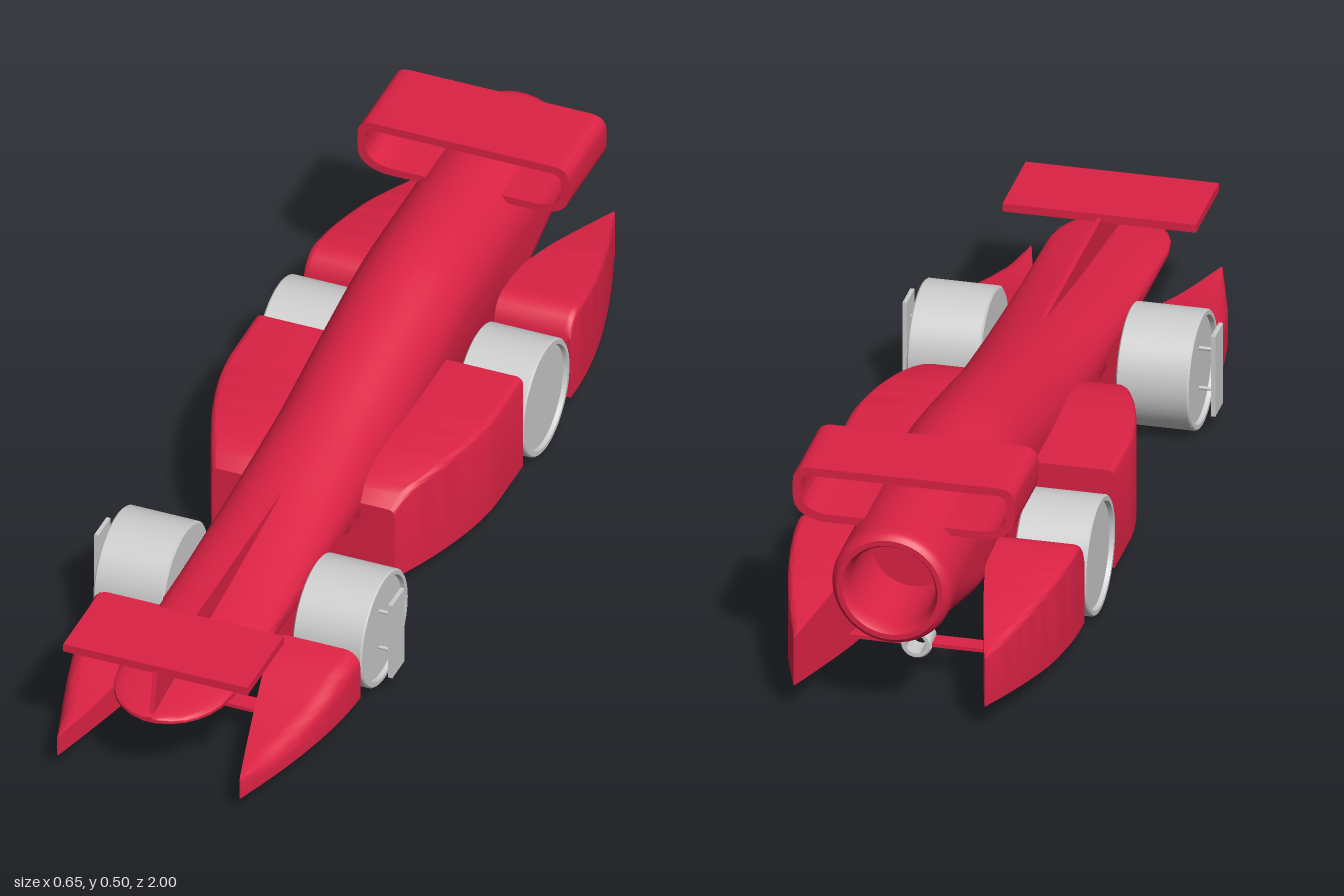
import * as THREE from 'three';
import { toCreasedNormals } from 'three/addons/utils/BufferGeometryUtils.js';

const red = new THREE.MeshStandardMaterial({ color: 0xdc2244, side: THREE.DoubleSide });
const grey = new THREE.MeshStandardMaterial({ color: 0xcccccc, side: THREE.DoubleSide });

// piecewise linear lookup, table sorted by falling z
function lookup(table, z) {
  if (z >= table[0][0]) return table[0][1];
  for (let i = 1; i < table.length; i++) {
    const [z0, v0] = table[i - 1], [z1, v1] = table[i];
    if (z >= z1) return v0 + (v1 - v0) * (z0 - z) / (z0 - z1);
  }
  return table[table.length - 1][1];
}

// skin through equal rings (counter-clockwise seen from +z, front to back), capped
function loft(rings, crease = 0.6) {
  const n = rings[0].length, pos = [], idx = [];
  rings.forEach(r => r.forEach(p => pos.push(...p)));
  for (let i = 0; i < rings.length - 1; i++) for (let j = 0; j < n; j++) {
    const a = i * n + j, b = i * n + (j + 1) % n, c = a + n, d = b + n;
    idx.push(a, c, b, b, c, d);
  }
  [0, rings.length - 1].forEach(k => {
    const mid = [0, 1, 2].map(q => rings[k].reduce((s, p) => s + p[q], 0) / n);
    const m = pos.length / 3;
    pos.push(...mid);
    for (let j = 0; j < n; j++) {
      const a = k * n + j, b = k * n + (j + 1) % n;
      idx.push(m, ...(k ? [b, a] : [a, b]));
    }
  });
  const g = new THREE.BufferGeometry();
  g.setAttribute('position', new THREE.Float32BufferAttribute(pos, 3));
  g.setIndex(idx);
  return toCreasedNormals(g, crease);
}

const range = (a, b, n) => Array.from({ length: n + 1 }, (_, i) => a + (b - a) * i / n);

export function createModel() {
  const model = new THREE.Group();
  const add = (name, geo, mat, x = 0, y = 0, z = 0) => {
    const m = new THREE.Mesh(geo, mat);
    m.name = name;
    m.position.set(x, y, z);
    model.add(m);
    return m;
  };
  const box = (name, mat, w, h, d, x, y, z) => add(name, new THREE.BoxGeometry(w, h, d), mat, x, y, z);

  // fuselage: arched section, wedge nose, round hollow tail
  const base = 0.173;
  const topLine = [[1, 0.185], [0.6, 0.235], [0.3, 0.283], [0.1, 0.322], [-0.1, 0.364], [-0.2, 0.384],
    [-0.3, 0.403], [-0.37, 0.415], [-0.43, 0.421], [-0.5, 0.424], [-1, 0.424]];
  const cornerLine = [[1, 0.001], [-0.55, 0.001], [-0.75, 0.05], [-0.92, 0.125]];
  function bodyRing(z) {
    const w = z > 0.85 ? 0.125 * Math.sqrt(1 - ((z - 0.85) / 0.15) ** 2) : 0.125;
    const top = lookup(topLine, z), h = top - base;
    const dome = Math.min(0.125, h * 0.75), yc = top - dome;
    const r = Math.min(lookup(cornerLine, z), w), ry = Math.min(r, h - dome);
    const ring = range(0, Math.PI, 28).map(a => [w * Math.cos(a), yc + dome * Math.sin(a), z]);
    range(Math.PI, 1.5 * Math.PI, 10).forEach(a =>
      ring.push([-(w - r) + r * Math.cos(a), base + ry + ry * Math.sin(a), z]));
    range(1.5 * Math.PI, 2 * Math.PI, 10).forEach(a =>
      ring.push([w - r + r * Math.cos(a), base + ry + ry * Math.sin(a), z]));
    return ring;
  }
  const bodyRings = [0.999, 0.99, 0.975, 0.955, 0.93, 0.9, 0.85, ...range(0.8, -0.96, 44), -0.975].map(bodyRing);
  const tail = bodyRing(-0.975);
  [[-0.985, 0.985], [-0.994, 0.95], [-1, 0.89], [-1, 0.8], [-0.99, 0.75], [-0.97, 0.72], [-0.8, 0.7]]
    .forEach(([z, s]) => bodyRings.push(tail.map(([x, y]) => [x * s, 0.3 + (y - 0.3) * s, z])));
  add('fuselage', loft(bodyRings), red);

  // nose fin and front wing
  const fin = new THREE.Shape([[0.3, 0.27], [0.99, 0.176], [0.965, 0.28], [0.3, 0.283]].map(p => new THREE.Vector2(...p)));
  const finGeo = new THREE.ExtrudeGeometry(fin, { depth: 0.01, bevelEnabled: false }).translate(0, 0, -0.005);
  add('noseFin', finGeo.rotateY(-Math.PI / 2), red);
  box('frontWing', red, 0.404, 0.018, 0.195, 0, 0.281, 0.868);

  // rear wing: rounded closed band
  function band(w, y0, y1, rt, rb) {
    return s => {
      s.moveTo(-w + rb, y0); s.lineTo(w - rb, y0);
      s.quadraticCurveTo(w, y0 + 0.004, w, y0 + rb * 0.8);
      s.lineTo(w, y1 - rt); s.quadraticCurveTo(w, y1, w - rt, y1);
      s.lineTo(-w + rt, y1); s.quadraticCurveTo(-w, y1, -w, y1 - rt);
      s.lineTo(-w, y0 + rb * 0.8); s.quadraticCurveTo(-w, y0 + 0.004, -w + rb, y0);
      return s;
    };
  }
  const wing = band(0.232, 0.376, 0.495, 0.035, 0.07)(new THREE.Shape());
  wing.holes.push(band(0.214, 0.393, 0.477, 0.02, 0.055)(new THREE.Path()));
  const wingGeo = new THREE.ExtrudeGeometry(wing, { depth: 0.2, bevelEnabled: false, curveSegments: 10 });
  add('rearWing', toCreasedNormals(wingGeo, 0.6), red, 0, 0, -0.88);

  // side pods: front, middle and rear segments of a lens-shaped hull
  const innerX = z => 0.118 + 0.08 * Math.max(0, (Math.abs(z) - 0.65) / 0.35) ** 1.2;
  const taper = t => 0.293 - 0.093 * Math.max(0, t) ** 1.7;
  const pods = [
    { name: 'frontPod', zs: range(1, 0.585, 16), inner: innerX, outer: z => taper((z - 0.58) / 0.42), r: 0.035,
      top: [[1, 0.083], [0.9, 0.09], [0.82, 0.1], [0.74, 0.116], [0.68, 0.133], [0.63, 0.145], [0.585, 0.15]],
      bottom: [[1, 0.037], [0.5, 0.037]] },
    { name: 'middlePod', zs: range(0.175, -0.285, 20), inner: () => 0.118, outer: z => taper((z + 0.15) / 0.325), r: 0.015,
      top: [[0.175, 0.205], [0.155, 0.227], [0.12, 0.241], [0.06, 0.251], [0, 0.255], [-0.3, 0.257]],
      bottom: [[1, 0.037], [-1, 0.037]] },
    { name: 'rearPod', zs: [-0.54, -0.55, -0.56, -0.575, -0.59, ...range(-0.61, -1, 16)], inner: innerX,
      outer: z => taper((-z - 0.58) / 0.42), r: 0.015,
      top: [[-0.54, 0.19], [-0.55, 0.212], [-0.56, 0.222], [-0.575, 0.23], [-0.59, 0.233], [-0.65, 0.229], [-0.8, 0.21], [-1, 0.17]],
      bottom: [[-0.54, 0.037], [-0.75, 0.04], [-1, 0.06]] },
  ];
  for (const s of [1, -1]) {
    const side = s > 0 ? 'left' : 'right';
    for (const p of pods) {
      const rings = p.zs.map(z => {
        const xi = p.inner(z), xo = Math.max(p.outer(z), xi + 0.003);
        const t = lookup(p.top, z), b = lookup(p.bottom, z), r = Math.min(p.r, (xo - xi) * 0.6);
        const ring = [[xi, b, z], [xo, b, z]];
        range(0, Math.PI / 2, 6).forEach(a => ring.push([xo - r + r * Math.cos(a), t - r + r * Math.sin(a), z]));
        ring.push([xi, t, z]);
        const out = ring.map(([x, y, q]) => [s * x, y, q]);
        return s > 0 ? out : out.reverse();
      });
      add(side + p.name, loft(rings), red);
    }
    // keel wall joining the pods behind the wheels
    box(side + 'KeelWall', red, 0.007, 0.16, 1.18, s * 0.1215, 0.117, 0.03);

    // wheels with recessed faces and axles
    const profile = [[0, -0.0765], [0.12, -0.0765], [0.125, -0.073], [0.125, 0.073], [0.122, 0.0765],
      [0.113, 0.0765], [0.111, 0.067], [0, 0.067]].map(p => new THREE.Vector2(...p));
    for (const [name, z] of [['FrontWheel', 0.457], ['RearWheel', -0.408]]) {
      const wheel = add(side + name, toCreasedNormals(new THREE.LatheGeometry(profile, 48), 0.6), grey, s * 0.218, 0.125, z);
      wheel.rotation.z = -s * Math.PI / 2;
      const axle = add(side + name + 'Axle', new THREE.CylinderGeometry(0.016, 0.016, 0.05, 16), red, s * 0.13, 0.125, z);
      axle.rotation.z = Math.PI / 2;
    }
    // upright plate held by two pins outside the front wheel
    box(side + 'WheelPlate', grey, 0.009, 0.181, 0.066, s * 0.322, 0.126, 0.463);
    for (const y of [0.081, 0.171]) {
      const pin = add(side + 'PlatePin', new THREE.CylinderGeometry(0.004, 0.004, 0.04, 10), grey, s * 0.302, y, 0.463);
      pin.rotation.z = Math.PI / 2;
    }
  }

  // tow rings under nose and tail, on thin struts
  const ringProfile = [[0.021, -0.026], [0.029, -0.026], [0.033, -0.02], [0.033, 0.02], [0.029, 0.026],
    [0.021, 0.026], [0.021, -0.026]].map(p => new THREE.Vector2(...p));
  for (const [end, z] of [['front', 0.73], ['rear', -0.755]]) {
    const ring = add(end + 'Ring', toCreasedNormals(new THREE.LatheGeometry(ringProfile, 32), 0.6), grey, 0, 0.07, z);
    ring.rotation.x = Math.PI / 2;
    box(end + 'RingPost', red, 0.01, 0.085, 0.05, 0, 0.142, z);
    for (const s of [1, -1]) box(end + 'RingBar', red, 0.112, 0.008, 0.04, s * 0.085, 0.069, z);
  }
  return model;
}
